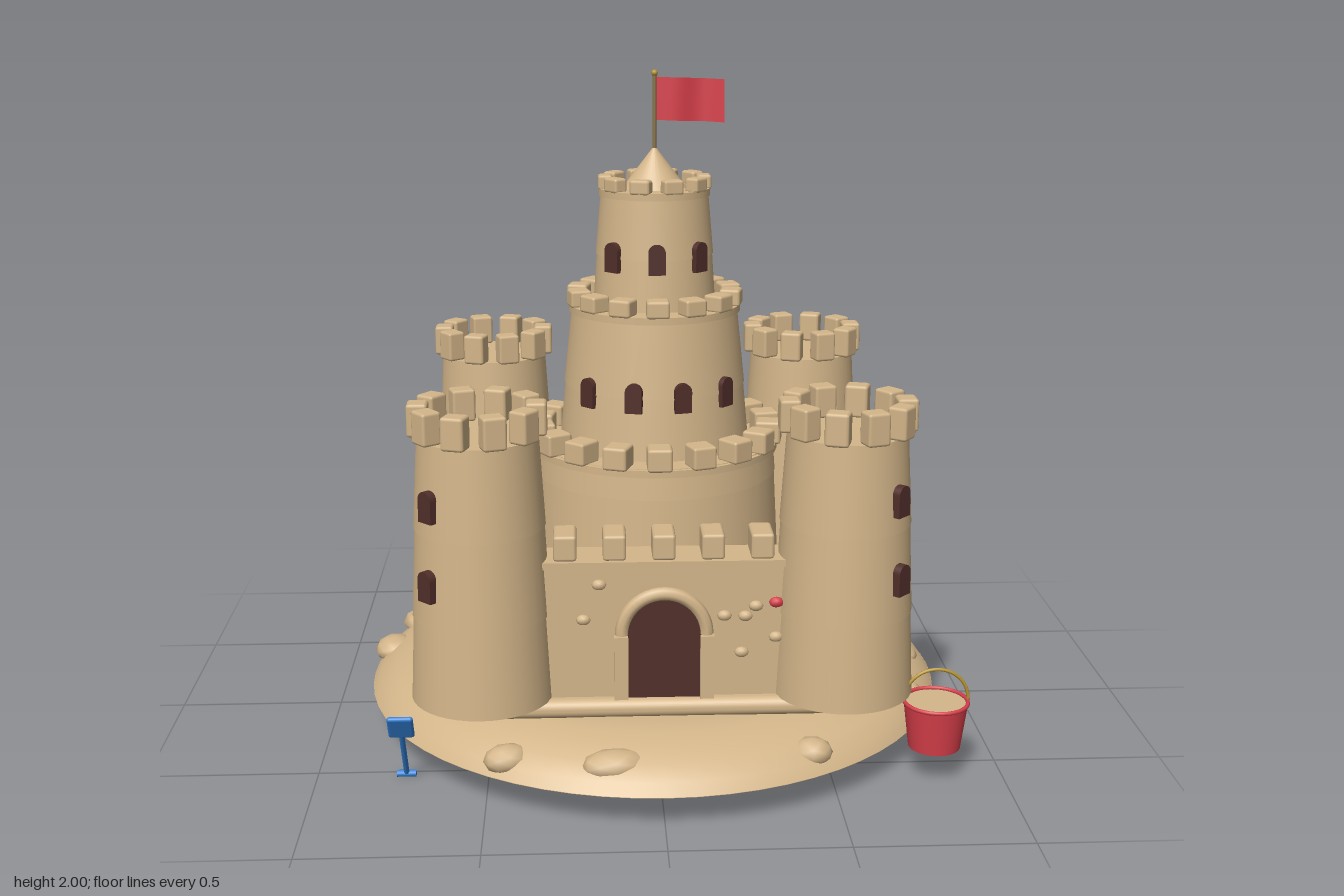
import * as THREE from 'three';
import { RoundedBoxGeometry } from 'three/addons/geometries/RoundedBoxGeometry.js';

const paint = (name, color, side = THREE.FrontSide) => {
  const m = new THREE.MeshStandardMaterial({ color, side });
  m.name = name;
  return m;
};

export function createModel() {
  const sand = paint('sand', 0xd4b68a);
  const dark = paint('dark opening', 0x512f2a);
  const red = paint('red plastic', 0xd83f4a, THREE.DoubleSide);
  const blue = paint('blue plastic', 0x3584da);
  const gold = paint('gold', 0xb8942f);
  const wood = paint('pole wood', 0x8a7448);

  const root = new THREE.Group();
  root.name = 'sandCastle';
  const group = (name, parent, x = 0, y = 0, z = 0) => {
    const g = new THREE.Group();
    g.name = name;
    g.position.set(x, y, z);
    parent.add(g);
    return g;
  };
  const add = (name, parent, geo, mat, x = 0, y = 0, z = 0) => {
    const m = new THREE.Mesh(geo, mat);
    m.name = name;
    m.position.set(x, y, z);
    parent.add(m);
    return m;
  };

  // Stacked frustums from [radius, y] pairs, each band a touch wider at its foot
  const bands = (name, parent, pts) => {
    for (let i = 0; i < pts.length - 1; i++) {
      const [r0, y0] = pts[i], [r1, y1] = pts[i + 1];
      add(name, parent, new THREE.CylinderGeometry(r1 - 0.003, r0, y1 - y0, 40), sand, 0, (y0 + y1) / 2, 0);
    }
  };

  // Ring of chunky battlements
  const crown = (name, parent, n, rOut, depth, w, h, y, start = 0) => {
    const geo = new RoundedBoxGeometry(w, h, depth, 1, 0.009);
    for (let i = 0; i < n; i++) {
      const a = start + (i / n) * Math.PI * 2, r = rOut - depth / 2;
      add(name, parent, geo, sand, Math.sin(a) * r, y + h / 2, Math.cos(a) * r).rotation.y = a;
    }
  };

  // Round-topped panel standing on y = 0, centred in depth
  const archGeo = (w, h, d) => {
    const r = w / 2, s = new THREE.Shape();
    s.moveTo(-r, 0);
    s.lineTo(r, 0);
    s.lineTo(r, h - r);
    s.absarc(0, h - r, r, 0, Math.PI, false);
    s.closePath();
    return new THREE.ExtrudeGeometry(s, { depth: d, bevelEnabled: false, curveSegments: 10 }).translate(0, 0, -d / 2);
  };
  const windowGeo = archGeo(0.052, 0.09, 0.03);
  const roundWindow = (parent, a, r, y) => {
    add('window', parent, windowGeo, dark, Math.sin(a) * r, y, Math.cos(a) * r).rotation.y = a;
  };

  // Sand mound with half-buried lumps
  const mound = group('mound', root, 0.003);
  const profile = [[0, 0.1], [0.89, 0.1], [0.89, 0.1], [0.865, 0.135], [0.82, 0.168], [0.76, 0.192], [0.7, 0.205], [0.64, 0.213], [0, 0.213]];
  add('moundBase', mound, new THREE.CylinderGeometry(0.89, 0.89, 0.001, 64), sand, 0, 0.1005, 0);
  add('moundDome', mound, new THREE.LatheGeometry(profile.slice(2).map(p => new THREE.Vector2(...p)), 64), sand);
  const lumps = [
    [-0.165, -0.84, 0.08, 0.05], [-0.43, -0.71, 0.11, 0.07], [-0.72, -0.315, 0.11, 0.1], [-0.835, -0.12, 0.065, 0.075],
    [0.79, -0.26, 0.055, 0.07], [0.78, 0.04, 0.065, 0.08], [0.76, 0.325, 0.05, 0.06], [-0.14, 0.785, 0.095, 0.055],
    [-0.44, 0.71, 0.07, 0.05], [0.42, 0.71, 0.06, 0.05], [-0.755, 0.27, 0.02, 0.02],
  ];
  lumps.forEach(([x, z, rx, rz], i) => {
    const r = Math.hypot(x, z), y = 0.2 - Math.max(0, r - 0.72) * 0.35;
    const m = add('sandLump', mound, new THREE.IcosahedronGeometry(1, 1), sand, x, y - 0.02, z);
    m.scale.set(rx, Math.min(rx, rz, 0.05) * 0.85, rz);
    m.rotation.y = (i % 3) * 0.12;
  });

  const castle = group('castle', root, 0.01, 0, -0.004);
  add('plinth', castle, new RoundedBoxGeometry(1.235, 0.056, 1.235, 4, 0.026), sand, 0, 0.235, 0);

  // Four curtain walls with caps and battlements
  for (let k = 0; k < 4; k++) {
    const wall = group('wall', castle);
    wall.rotation.y = (k * Math.PI) / 2;
    add('wallBody', wall, new THREE.BoxGeometry(0.9, 0.4, 0.12), sand, 0, 0.455, 0.52);
    add('wallCap', wall, new THREE.BoxGeometry(0.9, 0.02, 0.136), sand, 0, 0.663, 0.52);
    for (let i = -2; i <= 2; i++)
      add('wallMerlon', wall, new RoundedBoxGeometry(0.066, 0.075, 0.115, 1, 0.009), sand, i * 0.14, 0.709, 0.52);
  }

  // Corner towers, windows facing outward along the diagonals
  for (const sx of [-1, 1]) for (const sz of [-1, 1]) {
    const tower = group('cornerTower', castle, sx * 0.52, 0, sz * 0.52);
    bands('towerBand', tower, [[0.206, 0.26], [0.197, 0.51], [0.187, 0.77], [0.174, 1.035]]);
    crown('towerMerlon', tower, 10, 0.195, 0.06, 0.068, 0.095, 1.033, Math.PI / 10);
    const a = Math.atan2(sx, sz);
    roundWindow(tower, a, 0.186, 0.82);
    roundWindow(tower, a, 0.196, 0.592);
  }

  // Three-tier keep
  const keep = group('keep', castle, 0, 0, -0.05);
  bands('lowerTier', keep, [[0.405, 0.26], [0.38, 0.77], [0.375, 0.865]]);
  bands('middleTier', keep, [[0.295, 0.86], [0.28, 1.05], [0.257, 1.295]]);
  bands('upperTier', keep, [[0.188, 1.29], [0.18, 1.45], [0.166, 1.645]]);
  for (const [r, y] of [[0.385, 0.852], [0.265, 1.285], [0.17, 1.638]])
    add('tierLedge', keep, new THREE.CylinderGeometry(r, r, 0.022, 40), sand, 0, y, 0);
  crown('lowerMerlon', keep, 18, 0.398, 0.08, 0.075, 0.07, 0.86);
  crown('middleMerlon', keep, 14, 0.27, 0.065, 0.07, 0.053, 1.292);
  crown('upperMerlon', keep, 10, 0.172, 0.045, 0.062, 0.045, 1.643, Math.PI / 10);
  for (const d of [-47, -15, 15, 47]) roundWindow(keep, THREE.MathUtils.degToRad(d), 0.276, 1.01);
  for (const d of [-45, 0, 45]) roundWindow(keep, THREE.MathUtils.degToRad(d), 0.178, 1.41);
  add('roofCone', keep, new THREE.ConeGeometry(0.1, 0.13, 32), sand, 0, 1.71, 0);

  // Flag on its pole
  const flag = group('flag', keep);
  add('flagPole', flag, new THREE.CylinderGeometry(0.006, 0.006, 0.25, 10), wood, 0, 1.865, 0);
  add('poleKnob', flag, new THREE.SphereGeometry(0.01, 12, 8), gold, 0, 1.99, 0);
  const cloth = new THREE.PlaneGeometry(0.205, 0.128, 14, 2).translate(0.1075, 0, 0);
  const p = cloth.attributes.position;
  for (let i = 0; i < p.count; i++) {
    const t = p.getX(i) / 0.21;
    p.setZ(i, Math.sin(t * 7) * 0.013 * Math.min(1, t * 2));
    p.setY(i, p.getY(i) - t * 0.008);
  }
  cloth.computeVertexNormals();
  add('flagCloth', flag, cloth, red, 0, 1.915, 0);

  // Gateway: door, side posts and arch
  const gate = group('gate', castle, 0, 0.262, 0.58);
  add('door', gate, archGeo(0.212, 0.302, 0.016), dark, 0, 0, 0.002);
  for (const s of [-1, 1])
    add('gatePost', gate, new THREE.BoxGeometry(0.04, 0.19, 0.05), sand, s * 0.123, 0.095, 0);
  add('gateArch', gate, new THREE.TorusGeometry(0.121, 0.02, 8, 24, Math.PI), sand, 0, 0.193, 0.004);

  // Pebbles pressed into the front wall
  const pebbles = [[-0.185, 0.605], [-0.23, 0.5], [0.262, 0.535], [0.232, 0.505], [0.172, 0.507], [0.222, 0.395], [0.32, 0.44], [0.32, 0.545]];
  pebbles.forEach(([x, y], i) => {
    const isRed = i === pebbles.length - 1;
    const m = add('wallPebble', castle, new THREE.IcosahedronGeometry(1, 1), isRed ? red : sand, x, y, 0.582);
    m.scale.set(0.021, 0.016, 0.014);
  });

  // Bucket full of sand
  const bucket = group('bucket', root, 0.797, 0.1, 0.592);
  add('bucketBody', bucket, new THREE.CylinderGeometry(0.093, 0.075, 0.14, 32, 1, true), red, 0, 0.07, 0);
  add('bucketBottom', bucket, new THREE.CylinderGeometry(0.075, 0.075, 0.006, 32), red, 0, 0.003, 0);
  add('bucketRim', bucket, new THREE.TorusGeometry(0.092, 0.006, 8, 32), red, 0, 0.139, 0).rotation.x = Math.PI / 2;
  add('bucketSand', bucket, new THREE.CylinderGeometry(0.09, 0.088, 0.012, 32), sand, 0, 0.13, 0);
  add('bucketHandle', bucket, new THREE.TorusGeometry(0.094, 0.005, 8, 28, Math.PI), gold, 0, 0.142, 0);

  // Leaning spade, blade up
  const spade = group('spade', root, -0.74, 0.012, 0.53);
  spade.rotation.x = Math.PI / 6;
  const grip = add('spadeGrip', spade, new THREE.CylinderGeometry(0.01, 0.01, 0.056, 12), blue);
  grip.rotation.z = Math.PI / 2;
  add('spadeShaft', spade, new THREE.CylinderGeometry(0.008, 0.008, 0.2, 12), blue, 0, 0.1, 0);
  add('spadeBlade', spade, new RoundedBoxGeometry(0.074, 0.088, 0.016, 3, 0.008), blue, 0, 0.23, 0);

  return root;
}
